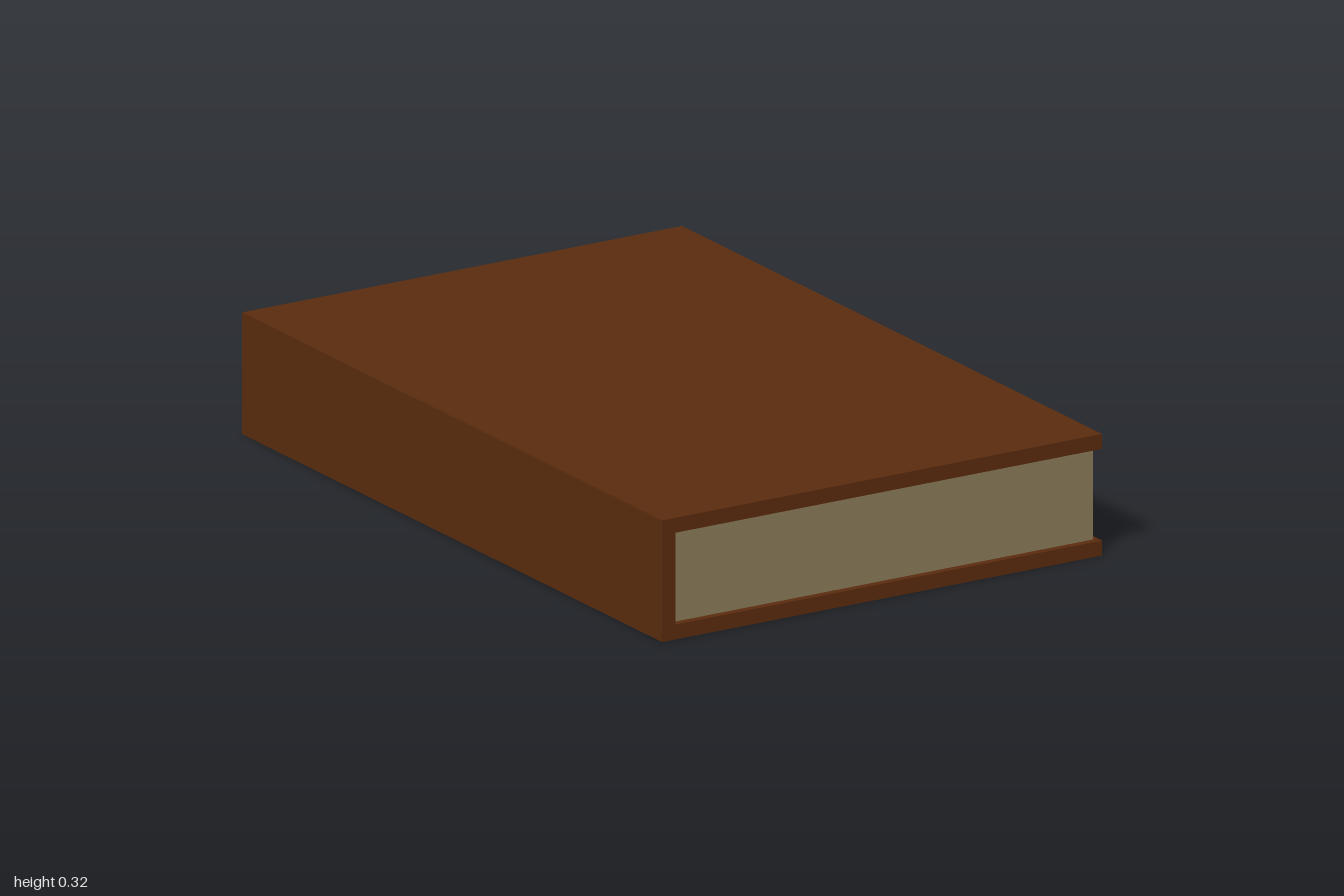
import * as THREE from 'three';

const W = 0.66, H = 0.325, T = 0.04, L = 2;

export function createModel() {
  const group = new THREE.Group();
  group.name = 'book';

  const add = (name, geometry, color) => {
    const mesh = new THREE.Mesh(geometry, new THREE.MeshStandardMaterial({ color, flatShading: true }));
    mesh.name = name;
    group.add(mesh);
    return mesh;
  };

  // Cover: C-shaped section with the spine at -x, run along z
  const section = new THREE.Shape([
    [-W, 0], [W, 0], [W, T], [-W + T, T],
    [-W + T, H - T], [W, H - T], [W, H], [-W, H],
  ].map(([x, y]) => new THREE.Vector2(x, y)));
  const cover = new THREE.ExtrudeGeometry(section, { depth: L, bevelEnabled: false });
  cover.translate(0, 0, -L / 2);
  add('cover', cover, 0x5a2b0e);

  // Page block, set in slightly from the three open edges
  const inner = -W + T, outer = 0.645;
  const pages = add('pages', new THREE.BoxGeometry(outer - inner, H - 2 * T, 1.96), 0x8a7b58);
  pages.position.set((inner + outer) / 2, H / 2, 0);

  return group;
}
